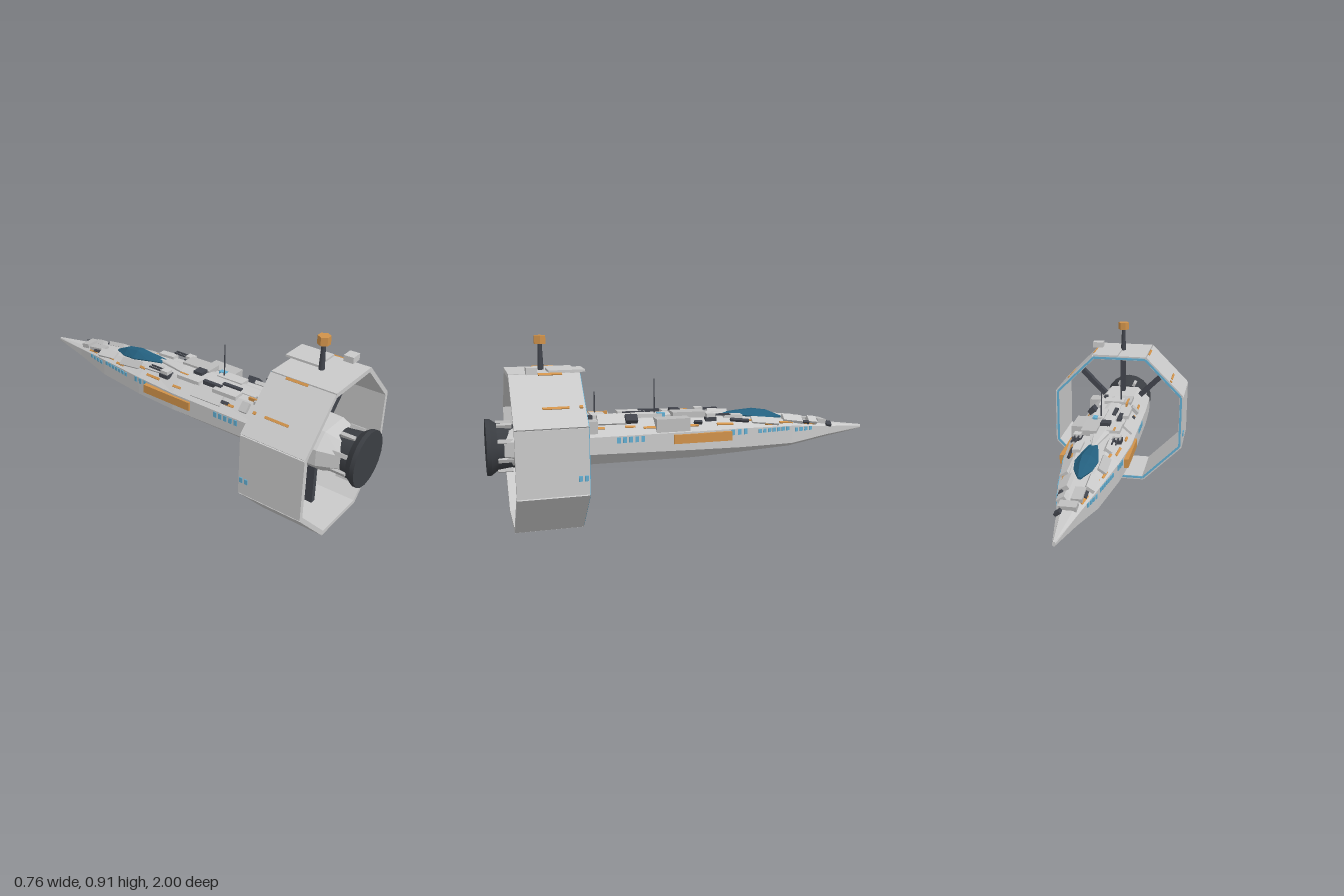
import * as THREE from 'three';

const mat = (name, color) => Object.assign(new THREE.MeshStandardMaterial({ color }), { name });

// Hull stations: z, bottom half width, bottom y, side half width, chine y, shoulder y, deck half width, deck y
const STATIONS = [
  [-1.0, 0.004, 0.372, 0.007, 0.378, 0.386, 0.004, 0.392],
  [-0.78, 0.022, 0.343, 0.045, 0.358, 0.402, 0.024, 0.418],
  [-0.55, 0.05, 0.311, 0.092, 0.333, 0.425, 0.05, 0.452],
  [-0.25, 0.075, 0.301, 0.138, 0.34, 0.437, 0.07, 0.486],
  [0.0, 0.088, 0.294, 0.16, 0.348, 0.44, 0.085, 0.502],
  [0.57, 0.088, 0.294, 0.16, 0.358, 0.44, 0.085, 0.513],
  [0.82, 0.085, 0.3, 0.15, 0.36, 0.44, 0.08, 0.503],
  [0.92, 0.06, 0.32, 0.11, 0.365, 0.43, 0.06, 0.47],
];

// Interpolated hull section at z, with the slopes along z
function section(z) {
  let i = 0;
  while (i < STATIONS.length - 2 && z > STATIONS[i + 1][0]) i++;
  const a = STATIONS[i], b = STATIONS[i + 1], t = (z - a[0]) / (b[0] - a[0]);
  const v = a.map((n, k) => n + (b[k] - n) * t);
  const dz = b[0] - a[0];
  return { w: v[3], sy: v[5], tw: v[6], ty: v[7], dw: (b[3] - a[3]) / dz, dt: (b[7] - a[7]) / dz };
}

// Faceted skin through rings of points, with both ends closed
function loft(rings) {
  const p = [], n = rings[0].length, last = rings.length - 1;
  const tri = (...q) => q.forEach((v) => p.push(...v));
  for (let s = 0; s < last; s++) for (let j = 0; j < n; j++) {
    const k = (j + 1) % n, a = rings[s][j], b = rings[s][k], c = rings[s + 1][k], d = rings[s + 1][j];
    tri(a, b, c); tri(a, c, d);
  }
  for (let j = 1; j < n - 1; j++) {
    tri(rings[0][0], rings[0][j + 1], rings[0][j]);
    tri(rings[last][0], rings[last][j], rings[last][j + 1]);
  }
  const g = new THREE.BufferGeometry();
  g.setAttribute('position', new THREE.Float32BufferAttribute(p, 3));
  g.computeVertexNormals();
  return g;
}

export function createModel() {
  const root = new THREE.Group();
  root.name = 'spaceship';
  const grey = mat('hull grey', 0xc9c9c9), pale = mat('panel grey', 0xbcbcbc), dark = mat('dark metal', 0x41444c);
  const engineMat = mat('engine charcoal', 0x3b3e43), orange = mat('orange', 0xd0924a);
  const blue = mat('window blue', 0x62add0), glass = mat('canopy blue', 0x24607f);

  const add = (name, geo, material, x = 0, y = 0, z = 0, parent = root) => {
    const m = new THREE.Mesh(geo, material);
    m.name = name;
    m.position.set(x, y, z);
    parent.add(m);
    return m;
  };
  const box = (name, m, x, y, z, w, h, d, parent) => add(name, new THREE.BoxGeometry(w, h, d), m, x, y, z, parent);

  // Hull
  add('hull', loft(STATIONS.map(([z, bw, by, w, cy, sy, tw, ty]) => [
    [bw, by, z], [w, cy, z], [w, sy, z], [tw, ty, z], [-tw, ty, z], [-w, sy, z], [-w, cy, z], [-bw, by, z]])), grey);

  // Dorsal spine widening aft of the canopy
  const spine = [[-0.36, 0.004, 0.5], [-0.2, 0.012, 0.502], [-0.04, 0.05, 0.515], [0.1, 0.05, 0.517], [0.56, 0.035, 0.521]];
  add('dorsalSpine', loft(spine.map(([z, w, y]) => [
    [w, 0.45, z], [w, y - 0.006, z], [w * 0.5, y, z], [-w * 0.5, y, z], [-w, y - 0.006, z], [-w, 0.45, z]])), grey);

  // Canopy
  const canopy = [[-0.52, 0.008, 0.458, 0.466], [-0.44, 0.045, 0.463, 0.5], [-0.36, 0.057, 0.474, 0.512],
    [-0.27, 0.04, 0.484, 0.507], [-0.19, 0.022, 0.49, 0.5]];
  add('canopy', loft(canopy.map(([z, w, y, top]) => [
    [w * 0.8, y - 0.02, z], [w, y + 0.006, z], [w * 0.35, top, z], [-w * 0.35, top, z], [-w, y + 0.006, z], [-w * 0.8, y - 0.02, z]])), glass);

  // Place a plate on the deck or the sloping shoulder, following the surface
  const onDeck = (name, m, x0, x1, z0, z1, h) => {
    const x = (x0 + x1) / 2, z = (z0 + z1) / 2, s = section(z), ax = Math.abs(x);
    const onSlope = ax > s.tw, k = (s.ty - s.sy) / (s.w - s.tw);
    const y = onSlope ? s.ty - (ax - s.tw) * k : s.ty;
    const b = box(name, m, x, y + h / 2 - 0.003, z, x1 - x0, h + 0.006, z1 - z0);
    b.rotation.x = -Math.atan(s.dt);
    if (onSlope) b.rotation.z = -Math.sign(x) * Math.atan(k);
    return b;
  };

  // Deck plating
  [[0.01, 0.09, -0.07, 0.1, 0.025], [-0.11, -0.05, 0.21, 0.35, 0.014], [-0.15, -0.09, 0.1, 0.28, 0.012],
    [-0.14, -0.09, 0.39, 0.43, 0.02], [0.01, 0.07, 0.15, 0.3, 0.018], [-0.05, 0.06, 0.43, 0.5, 0.018],
    [-0.09, -0.02, 0.44, 0.56, 0.012], [0.06, 0.12, 0.34, 0.48, 0.012], [-0.1, -0.03, -0.02, 0.12, 0.014],
    [-0.04, 0.04, -0.77, -0.72, 0.018], [0.015, 0.06, -0.71, -0.66, 0.02], [0.025, 0.075, -0.62, -0.51, 0.016],
    [-0.05, 0, -0.7, -0.6, 0.013], [-0.085, -0.04, -0.6, -0.48, 0.013], [0.06, 0.105, -0.47, -0.32, 0.012],
    [-0.105, -0.06, -0.42, -0.28, 0.01], [-0.1, -0.06, -0.24, -0.13, 0.014], [0.05, 0.09, -0.27, -0.17, 0.014],
  ].forEach(([a, b, c, d, h], i) => onDeck('deckPlate', i % 3 ? grey : pale, a, b, c, d, h));
  box('shoulderBox', pale, 0.12, 0.477, 0.115, 0.08, 0.065, 0.17);
  box('shoulderBox', pale, 0.12, 0.485, 0.53, 0.065, 0.06, 0.085);

  // Dark machinery on the deck
  [[0.08, 0.12, 0.285, 0.345, 0.03], [-0.04, 0.01, 0.04, 0.09, 0.03], [0.02, 0.05, -0.8, -0.77, 0.014],
    [0.09, 0.105, -0.3, -0.2, 0.014], [-0.08, -0.06, 0.13, 0.24, 0.02], [0.055, 0.075, 0.5, 0.54, 0.02],
    [-0.13, -0.115, 0.22, 0.32, 0.012], [-0.04, -0.02, 0.22, 0.33, 0.016], [0.115, 0.13, -0.04, 0.0, 0.02],
    [0.05, 0.065, -0.66, -0.6, 0.014], [-0.06, -0.045, -0.66, -0.61, 0.01],
  ].forEach(([a, b, c, d, h]) => onDeck('deckMachinery', dark, a, b, c, d, h));

  for (const s of [1, -1]) {
    // Twin-barrel turrets
    const turret = new THREE.Group();
    turret.name = 'turret';
    turret.position.set(s * 0.1, 0.49, -0.09);
    root.add(turret);
    box('turretBase', dark, 0, 0, 0, 0.05, 0.02, 0.055, turret);
    box('turretHead', grey, 0, 0.018, 0, 0.038, 0.02, 0.045, turret);
    for (const b of [1, -1]) box('turretBarrel', dark, b * 0.01, 0.018, -0.06, 0.007, 0.007, 0.09, turret);

    // Orange side panels
    box('sidePanel', orange, s * 0.161, 0.408, -0.035, 0.022, 0.045, 0.3);

    // Windows along each flank: start z, end z, count, y
    [[0.39, 0.27, 5, 0.42], [-0.2, -0.27, 3, 0.42], [-0.355, -0.52, 7, 0.414], [-0.575, -0.665, 4, 0.403]].forEach(([z0, z1, n, y]) => {
      for (let i = 0; i < n; i++) {
        const z = z0 + (z1 - z0) * i / (n - 1), c = section(z);
        box('flankWindow', blue, s * c.w, y, z, 0.008, y > 0.415 ? 0.028 : 0.02, 0.018).rotation.y = s * Math.atan(c.dw);
      }
    });

    // Orange shoulder stripes: start z, end z, position across the slope
    [[0.45, 0.54, 0.5], [0.3, 0.35, 0.5], [0.2, 0.26, 0.6], [-0.02, 0.03, 0.6], [-0.21, -0.12, 0.6], [-0.34, -0.24, 0.3],
      [-0.45, -0.39, 0.7], [-0.56, -0.48, 0.5], [-0.7, -0.63, 0.5]].forEach(([z0, z1, t]) => {
      const c = section((z0 + z1) / 2), x = s * (c.tw + (c.w - c.tw) * t);
      onDeck('shoulderStripe', orange, x - 0.006, x + 0.006, z0, z1, 0.005).rotation.y = s * Math.atan(c.dw);
    });
    // Ring side lights
    for (const z of [0.583, 0.61]) box('ringLight', blue, s * 0.376, 0.303, z, 0.009, 0.025, 0.016);
  }
  [[-0.07, 0.4, 0.5], [-0.07, -0.02, 0.03], [-0.07, 0.18, 0.21]].forEach(([x, a, b]) => onDeck('deckStripe', orange, x - 0.005, x + 0.005, a, b, 0.016));
  onDeck('deckLight', blue, 0.045, 0.07, 0.135, 0.175, 0.021);

  // Whip antennas
  [[0.03, 0.18, 0.693], [-0.03, 0.47, 0.632]].forEach(([x, z, top]) =>
    add('whipAntenna', new THREE.CylinderGeometry(0.003, 0.004, top - 0.5, 6), dark, x, (top + 0.5) / 2, z));

  // Octagonal ring with a lit leading edge
  const ring = new THREE.Group();
  ring.name = 'octagonRing';
  ring.position.set(0, 0.379, 0.73);
  root.add(ring);
  for (let i = 0; i < 8; i++) {
    const side = new THREE.Group();
    side.name = 'ringSide';
    side.rotation.z = i * Math.PI / 4;
    ring.add(side);
    box('ringPanel', grey, 0, 0.364, 0, 0.304, 0.022, 0.324, side);
    box('ringEdgeLight', blue, 0, 0.361, -0.162, 0.298, 0.012, 0.008, side);
    // Struts to the hull
    if ([0, 1, 4, 7].includes(i)) box('strut', dark, 0, 0.215, 0, 0.027, 0.255, 0.04, side);
    // Orange stripes on the upper diagonals
    if (i === 1 || i === 7) {
      const s = i === 1 ? -1 : 1;
      box('ringStripe', orange, s * 0.045, 0.376, -0.03, 0.012, 0.006, 0.12, side);
      box('ringStripe', orange, -s * 0.148, 0.376, -0.025, 0.012, 0.006, 0.11, side);
      box('ringMark', orange, s * 0.045, 0.377, -0.143, 0.014, 0.008, 0.015, side);
    }
  }

  // Ring-top mast, beacon and boxes
  add('mast', new THREE.CylinderGeometry(0.01, 0.015, 0.13, 8), dark, 0, 0.815, 0.73);
  add('beacon', new THREE.CylinderGeometry(0.03, 0.03, 0.04, 6).rotateY(Math.PI / 6).toNonIndexed(), orange, 0, 0.897, 0.73).geometry.computeVertexNormals();
  box('ringTopPlate', grey, 0.075, 0.759, 0.625, 0.14, 0.011, 0.17);
  box('ringTopBox', grey, 0.16, 0.768, 0.79, 0.06, 0.032, 0.05);

  // Engine bell
  const drum = (name, r0, r1, z0, z1) =>
    add(name, new THREE.CylinderGeometry(r1, r0, z1 - z0, 18).rotateX(Math.PI / 2), engineMat, 0, 0.392, (z0 + z1) / 2);
  drum('engineCollar', 0.105, 0.115, 0.87, 0.95);
  drum('engineFlare', 0.115, 0.137, 0.95, 0.98);
  drum('engineRim', 0.137, 0.137, 0.98, 1.0);
  for (let i = 0; i < 8; i++) {
    const a = (i + 0.5) * Math.PI / 4;
    box('engineBracket', pale, Math.cos(a) * 0.114, 0.392 + Math.sin(a) * 0.114, 0.915, 0.022, 0.018, 0.07).rotation.z = a;
  }
  return root;
}
